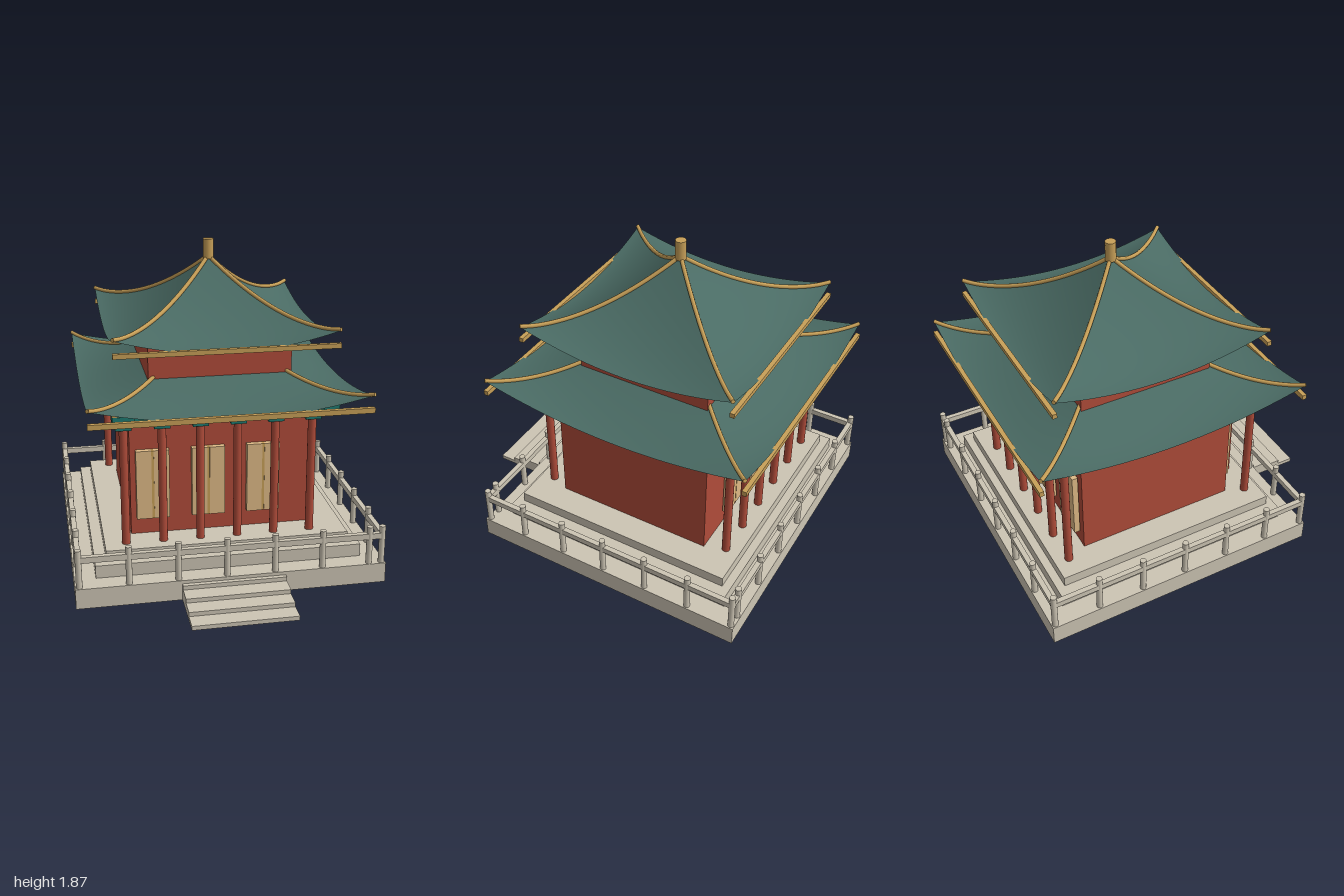
import * as THREE from 'three';

const CZ = -0.163; // centre line of the building in z
const mat = (color) => new THREE.MeshStandardMaterial({ color });
const STONE = mat(0xcdc5b4), RED = mat(0xb04c3a), TEAL = mat(0x1f7a70), DOOR = mat(0xdfba86);
const GOLD = mat(0xc8a058), TILE = mat(0x4a6b64);
GOLD.side = TILE.side = THREE.DoubleSide;

export function createModel() {
  const model = new THREE.Group();
  model.name = 'pavilion';

  const add = (name, geometry, material, x = 0, y = 0, z = 0, parent = model) => {
    const mesh = new THREE.Mesh(geometry, material);
    mesh.name = name;
    mesh.position.set(x, y, z);
    parent.add(mesh);
    return mesh;
  };
  // Box given by its size in x and z and its bottom and top heights
  const box = (name, material, w, d, y0, y1, x, z, parent) =>
    add(name, new THREE.BoxGeometry(w, y1 - y0, d), material, x, (y0 + y1) / 2, z, parent);
  const post = (name, material, r, y0, y1, x, z, parent) =>
    add(name, new THREE.CylinderGeometry(r, r, y1 - y0, 16), material, x, (y0 + y1) / 2, z, parent);
  const group = (name) => {
    const g = new THREE.Group();
    g.name = name;
    model.add(g);
    return g;
  };

  // Stepped stone terrace
  [[1.77, 1.674, 0, 0.12], [1.53, 1.45, 0.12, 0.195], [1.4, 1.354, 0.195, 0.257]].forEach(
    ([w, d, y0, y1], i) => box('terraceTier' + (i + 1), STONE, w, d, y0, y1, 0, CZ));

  // Entrance stairs
  for (let i = 0; i < 4; i++) {
    const front = 1 - i * 0.1;
    box('stairStep', STONE, 0.59, front - 0.6, 0, 0.025 * (i + 1), 0, (front + 0.6) / 2);
  }

  // Balustrade around the terrace edge
  const fence = group('balustrade');
  const FX = 0.862, FZ = 0.815, GAP = 0.275;
  for (const s of [-1, 1]) {
    box('railAlongX', STONE, 2 * FX, 0.03, 0.272, 0.307, 0, CZ + s * FZ, fence);
    box('railAlongZ', STONE, 0.03, 2 * FZ, 0.272, 0.307, s * FX, CZ, fence);
    for (let x = -FX; x < FX; x += GAP) post('fencePost', STONE, 0.018, 0.12, 0.347, x, CZ + s * FZ, fence);
    post('cornerPost', STONE, 0.018, 0.12, 0.347, FX, CZ + s * FZ, fence);
    for (let z = -FZ + GAP; z < FZ; z += GAP) post('fencePost', STONE, 0.018, 0.12, 0.347, s * FX, CZ + z, fence);
  }

  // Lower hall and upper storey
  box('lowerHall', RED, 1.075, 0.955, 0.257, 0.915, 0, CZ + 0.004);
  box('upperStorey', RED, 0.825, 0.8, 1.03, 1.357, 0, CZ);

  // Front and back: doors, colonnade, bracket sets, eave beams
  for (const s of [1, -1]) {
    const side = group(s > 0 ? 'frontFacade' : 'backFacade');
    for (const x of [-0.41, -0.09, 0.23]) {
      for (const k of [-1, 1])
        box('doorLeaf', DOOR, 0.088, 0.034, 0.36, 0.775, x + k * 0.051, CZ + s * 0.498, side);
      box('doorMullion', GOLD, 0.016, 0.03, 0.36, 0.775, x, CZ + s * 0.498, side);
    }
    const z = CZ + s * 0.592;
    for (let i = 0; i < 6; i++) {
      const x = -0.578 + i * 0.2137;
      post('column', RED, 0.024, 0.257, 0.95, x, z, side);
      box('bracketBlock', TEAL, 0.09, 0.065, 0.945, 0.976, x, z, side);
      box('bracketArm', TEAL, 0.12, 0.088, 0.972, 1.028, x, z, side);
    }
    box('lintel', TEAL, 1.28, 0.07, 0.974, 1.029, 0, z, side);
    box('lintelCap', GOLD, 1.28, 0.088, 1.029, 1.05, 0, z, side);
    box('lowerEaveBeam', GOLD, 1.565, 0.026, 1.03, 1.06, 0, CZ + s * 0.802, side);
    box('upperEaveBeam', GOLD, 1.255, 0.026, 1.36, 1.387, 0, CZ + s * 0.641, side);
  }

  // Swept hip roof; t runs from top (0) to eave (1), s along the eave (-1..1)
  function roof(name, hx, hz, inner, yEave, rise, power) {
    const g = group(name);
    const LIFT = 0.095;
    const height = (s, t) => yEave + rise * Math.pow(1 - t, power) + LIFT * t * t * s * s;
    const spread = (t) => inner + (1 - inner) * t;
    for (let k = 0; k < 4; k++) {
      const [w, d] = k % 2 ? [hz, hx] : [hx, hz];
      const geo = new THREE.PlaneGeometry(2, 1, 24, 20);
      const p = geo.attributes.position;
      for (let i = 0; i < p.count; i++) {
        const s = p.getX(i), t = 0.5 - p.getY(i), f = spread(t);
        p.setXYZ(i, s * w * f, height(s, t), d * f);
      }
      geo.rotateY(k * Math.PI / 2);
      geo.computeVertexNormals();
      add('roofSlope', geo, TILE, 0, 0, CZ, g);
    }
    // Ridge rolls down the four hips
    for (const sx of [-1, 1]) for (const sz of [-1, 1]) {
      const pts = [];
      for (let i = 0; i <= 12; i++) {
        const t = i / 12, f = spread(t);
        pts.push(new THREE.Vector3(sx * hx * f, height(1, t) + 0.006, sz * hz * f));
      }
      const path = new THREE.CatmullRomCurve3(pts);
      add('hipRidge', new THREE.TubeGeometry(path, 28, 0.012, 8), GOLD, 0, 0, CZ, g);
      const end = add('ridgeEnd', new THREE.CircleGeometry(0.012, 8), GOLD, pts[12].x, pts[12].y, pts[12].z + CZ, g);
      end.quaternion.setFromUnitVectors(new THREE.Vector3(0, 0, 1), path.getTangent(1));
    }
  }
  roof('lowerRoof', 0.78, 0.802, 0.49, 1.032, 0.132, 1.5);
  roof('upperRoof', 0.625, 0.642, 0, 1.362, 0.405, 1.6);

  // Finial on the apex
  add('finial', new THREE.CylinderGeometry(0.031, 0.031, 0.115, 16), GOLD, 0, 1.813, CZ);

  return model;
}
